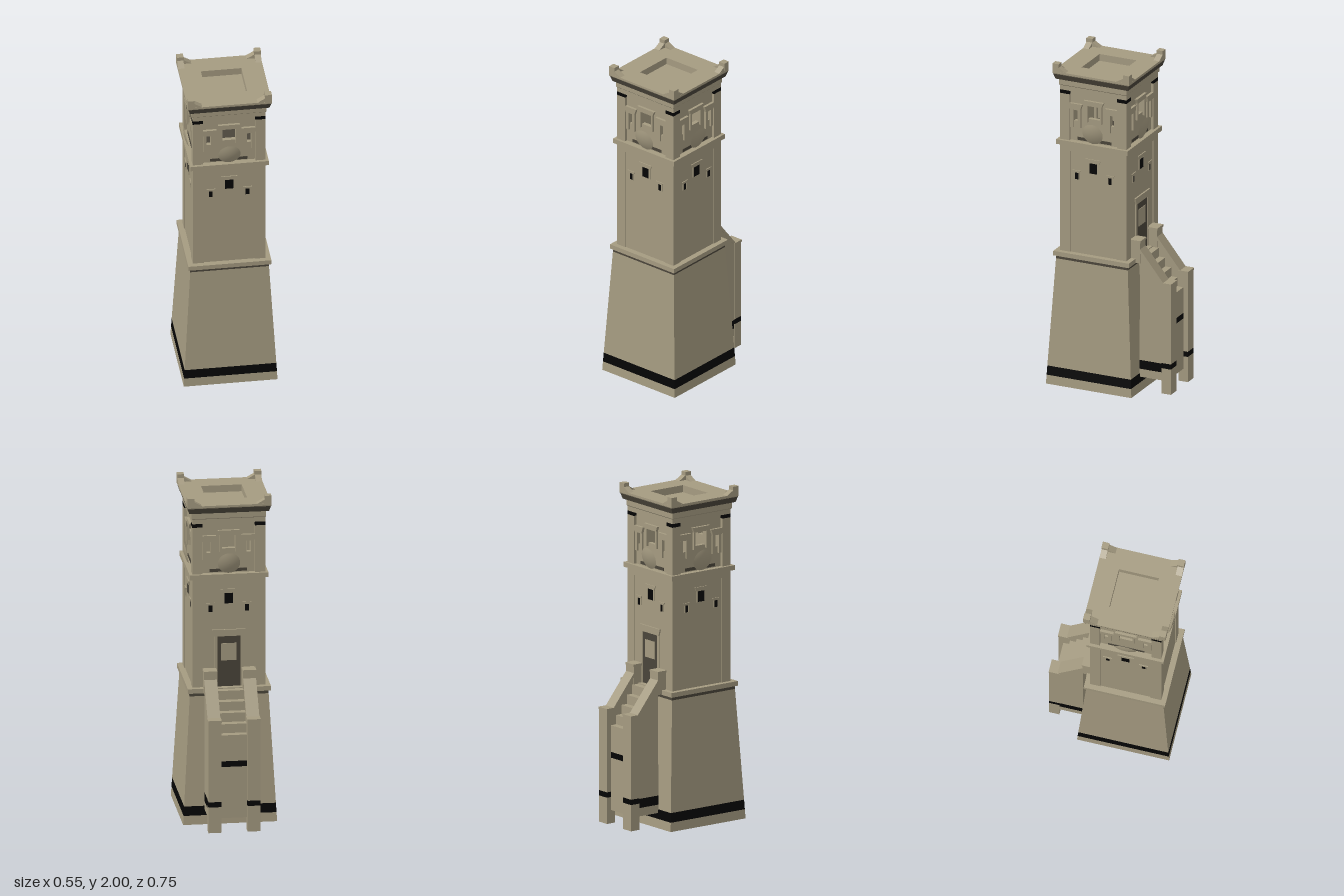
import * as THREE from 'three';

const mat = (name, color) => new THREE.MeshStandardMaterial({ name, color, side: THREE.DoubleSide });

export function createModel() {
  const stone = mat('sandstone', 0xa59b81);
  const black = mat('black trim', 0x040404);
  const dark = mat('dark weathered stone', 0x4a453a);
  const model = new THREE.Group();
  model.name = 'watchtower';
  const tower = new THREE.Group();
  tower.name = 'tower';
  tower.position.z = 0.1;
  model.add(tower);

  const add = (parent, name, geometry, material, x = 0, y = 0, z = 0) => {
    const mesh = new THREE.Mesh(geometry, material);
    mesh.name = name;
    mesh.position.set(x, y, z);
    parent.add(mesh);
    return mesh;
  };
  // Box given by its limits on each axis
  const box = (parent, name, material, x0, x1, y0, y1, z0, z1) =>
    add(parent, name, new THREE.BoxGeometry(x1 - x0, y1 - y0, z1 - z0), material,
      (x0 + x1) / 2, (y0 + y1) / 2, (z0 + z1) / 2);
  // Square solid from a profile of [half width, height]
  const square = (name, material, profile) => {
    const points = profile.map(([h, y]) => new THREE.Vector2(h * Math.SQRT2, y));
    const g = new THREE.LatheGeometry(points, 4, Math.PI / 4).toNonIndexed();
    g.computeVertexNormals();
    return add(tower, name, g, material);
  };
  const shapeOf = pts => new THREE.Shape(pts.map(p => new THREE.Vector2(...p)));
  const prism = (parent, name, material, pts, depth, z) =>
    add(parent, name, new THREE.ExtrudeGeometry(shapeOf(pts), { depth, bevelEnabled: false }), material, 0, 0, z);
  // Prism with a side profile of [distance behind, height], extruded along x
  const sidePrism = (parent, name, material, pts, x0, x1) => {
    const mesh = prism(parent, name, material, pts, x1 - x0, 0);
    mesh.rotation.y = Math.PI / 2;
    mesh.position.x = x0;
    return mesh;
  };
  const rect = (x0, x1, y0, y1) => [[x0, y0], [x1, y0], [x1, y1], [x0, y1]];

  // Battered hollow base with a black stripe
  const slope = y => 0.277 - 0.057 * y;
  square('baseFoot', stone, [[0.235, 0.055], [0.245, 0], [0.277, 0], [slope(0.055), 0.055]]);
  square('baseStripe', black, [[slope(0.055), 0.055], [slope(0.112), 0.112]]);
  square('baseInnerStripe', black, [[0.235, 0.055], [0.232, 0.112]]);
  square('baseWall', stone, [[slope(0.112), 0.112], [slope(0.777), 0.777]]);
  square('baseInside', stone, [[0.232, 0.112], [0.205, 0.777], [0, 0.777]]);
  square('ledgeShadowLine', dark, [[slope(0.777), 0.777], [0.232, 0.795]]);
  square('lowerLedge', stone, [[0.232, 0.795], [0.245, 0.797], [0.245, 0.825], [0, 0.825]]);

  // Shaft and upper ledge
  square('shaft', stone, [[0.21, 0.82], [0.21, 1.495]]);
  square('upperLedge', stone, [[0.21, 1.49], [0.232, 1.493], [0.232, 1.522], [0, 1.522]]);
  box(tower, 'belfryFloor', dark, -0.17, 0.17, 1.522, 1.527, -0.17, 0.17);

  // Cornice and roof with a dark stripe and a sunken square
  square('cornice', stone, [[0, 1.832], [0.215, 1.832], [0.215, 1.86], [0.22, 1.865], [0.22, 1.9], [0.235, 1.902]]);
  square('roofStripe', dark, [[0.235, 1.902], [0.245, 1.935]]);
  square('roof', stone, [[0.245, 1.935], [0.248, 1.94], [0.248, 1.952], [0.12, 1.952], [0.12, 1.91], [0, 1.91]]);

  // Flared lintel and two jambs round an opening
  const frame = (parent, name, cx, y0, y1, hw, t, z, depth, flare, rise) => {
    const w = hw + t;
    prism(parent, name + 'Lintel', stone, [[cx - w, y1], [cx + w, y1],
      [cx + w + flare, y1 + rise], [cx - w - flare, y1 + rise]], depth * 1.3, z);
    for (const s of [-1, 1]) {
      const c = cx + s * (hw + t / 2);
      prism(parent, name + 'Jamb', stone, rect(c - t / 2, c + t / 2, y0, y1), depth, z);
    }
  };

  // Shallow round dish
  const dishProfile = [];
  for (let i = 0; i <= 6; i++) {
    const a = i / 6;
    dishProfile.push(new THREE.Vector2(0.066 * a, 0.012 * (1 - a * a)));
  }
  const dishGeometry = new THREE.LatheGeometry(dishProfile, 28);

  // Four matching sides
  for (let i = 0; i < 4; i++) {
    const side = new THREE.Group();
    side.name = 'towerSide' + (i + 1);
    side.rotation.y = i * Math.PI / 2;
    tower.add(side);

    // Pilasters and top rail leave a shallow panel on the shaft
    for (const s of [-1, 1]) {
      const a = s * 0.15, b = s * 0.215;
      box(side, 'pilaster', stone, Math.min(a, b), Math.max(a, b), 0.825, 1.493, 0.205, 0.215);
    }
    box(side, 'shaftRail', stone, -0.15, 0.15, 1.455, 1.493, 0.205, 0.215);

    // Shaft windows
    box(side, 'shaftWindow', black, -0.025, 0.025, 1.335, 1.4, 0.206, 0.212);
    frame(side, 'shaftWindow', 0, 1.335, 1.4, 0.025, 0.014, 0.208, 0.006, 0.01, 0.024);
    for (const x of [-0.108, 0.108]) {
      box(side, 'slitWindow', black, x - 0.011, x + 0.011, 1.285, 1.327, 0.206, 0.212);
      frame(side, 'slitWindow', x, 1.285, 1.327, 0.011, 0.008, 0.208, 0.006, 0.008, 0.014);
    }

    // Pierced belfry wall
    const wall = shapeOf(rect(-0.165, 0.165, 1.52, 1.84));
    const openings = [[0, 0.04, 1.67, 1.755], [-0.119, 0.013, 1.645, 1.717], [0.119, 0.013, 1.645, 1.717]];
    for (const [x, w, y0, y1] of openings) {
      wall.holes.push(new THREE.Path(rect(x - w, x + w, y0, y1).reverse().map(p => new THREE.Vector2(...p))));
      frame(side, 'belfryWindow', x, x ? 1.605 : 1.65, y1, w, x ? 0.02 : 0.012, 0.196, 0.013, 0.012, x ? 0.038 : 0.03);
    }
    add(side, 'belfryWall', new THREE.ExtrudeGeometry(wall, { depth: 0.025, bevelEnabled: false }), stone, 0, 0, 0.172);
    box(side, 'belfryShadowGap', dark, -0.11, 0.11, 1.528, 1.546, 0.196, 0.2);

    // Tilted dish
    const dish = add(side, 'dish', dishGeometry, stone, 0, 1.587, 0.224);
    dish.rotation.x = Math.PI / 2 + 0.2;

    // Corner pillar with black cap stripe
    box(side, 'cornerPillar', stone, 0.155, 0.215, 1.52, 1.81, 0.155, 0.215);
    box(side, 'pillarStripe', black, 0.155, 0.215, 1.81, 1.832, 0.155, 0.215);

    // Roof horn with wedges along both edges
    box(side, 'roofHorn', stone, 0.208, 0.248, 1.94, 2, 0.208, 0.248);
    const wedge = [[0.21, 1.945], [0.21, 1.979], [0.163, 1.952], [0.163, 1.945]];
    prism(side, 'hornWedge', stone, wedge, 0.037, 0.21);
    sidePrism(side, 'hornWedge', stone, wedge.map(([u, y]) => [-u, y]), 0.21, 0.247);
  }

  // Rear doorway
  const door = new THREE.Group();
  door.name = 'doorway';
  door.rotation.y = Math.PI;
  tower.add(door);
  box(door, 'doorPanel', dark, -0.07, 0.07, 0.825, 1.135, 0.207, 0.213);
  box(door, 'doorInset', stone, -0.045, 0.045, 0.985, 1.09, 0.21, 0.216);
  frame(door, 'door', 0, 0.825, 1.135, 0.068, 0.018, 0.208, 0.009, 0.012, 0.04);

  // Rear staircase
  const stairs = new THREE.Group();
  stairs.name = 'staircase';
  model.add(stairs);
  const steps = [[0.14, 0.44], [0.345, 0.44]];
  for (let i = 0; i < 5; i++) {
    const u = 0.345 - 0.04 * i, y = 0.6 + 0.055 * i;
    steps.push([u, y], [i < 4 ? u - 0.04 : 0.12, y]);
  }
  sidePrism(stairs, 'steps', stone, steps, -0.08, 0.08);
  box(stairs, 'stepsStripe', black, -0.08, 0.08, 0.405, 0.44, -0.345, -0.15);
  box(stairs, 'stepsBase', stone, -0.08, 0.08, 0.09, 0.405, -0.345, -0.155);

  // Railing walls and posts, mirrored
  for (const s of [-1, 1]) {
    const x0 = s > 0 ? 0.08 : -0.15, x1 = x0 + 0.07;
    const p0 = s > 0 ? 0.075 : -0.155, p1 = p0 + 0.08;
    sidePrism(stairs, 'railing', stone, [[0.17, 0.195], [0.32, 0.195], [0.32, 0.69], [0.172, 0.875]], x0, x1);
    box(stairs, 'railingStripe', black, x0, x1, 0.14, 0.195, -0.32, -0.17);
    box(stairs, 'railingFoot', stone, x0, x1, 0.09, 0.14, -0.32, -0.17);
    sidePrism(stairs, 'handrail', stone, [[0.172, 0.865], [0.325, 0.675], [0.325, 0.7], [0.172, 0.89]], x0 - 0.003, x1 + 0.003);
    box(stairs, 'outerPost', stone, p0 + 0.002, p1 - 0.002, 0.2, 0.69, -0.374, -0.313);
    box(stairs, 'outerPostStripe', black, p0 + 0.002, p1 - 0.002, 0.168, 0.2, -0.374, -0.313);
    box(stairs, 'outerPostFoot', stone, p0 + 0.002, p1 - 0.002, 0.01, 0.168, -0.374, -0.313);
    box(stairs, 'outerPostCap', stone, p0, p1, 0.688, 0.702, -0.377, -0.31);
    box(stairs, 'innerPost', stone, p0 + 0.002, p1 - 0.002, 0.8, 0.93, -0.174, -0.11);
    box(stairs, 'innerPostCap', stone, p0, p1, 0.927, 0.94, -0.178, -0.11);
  }
  return model;
}
